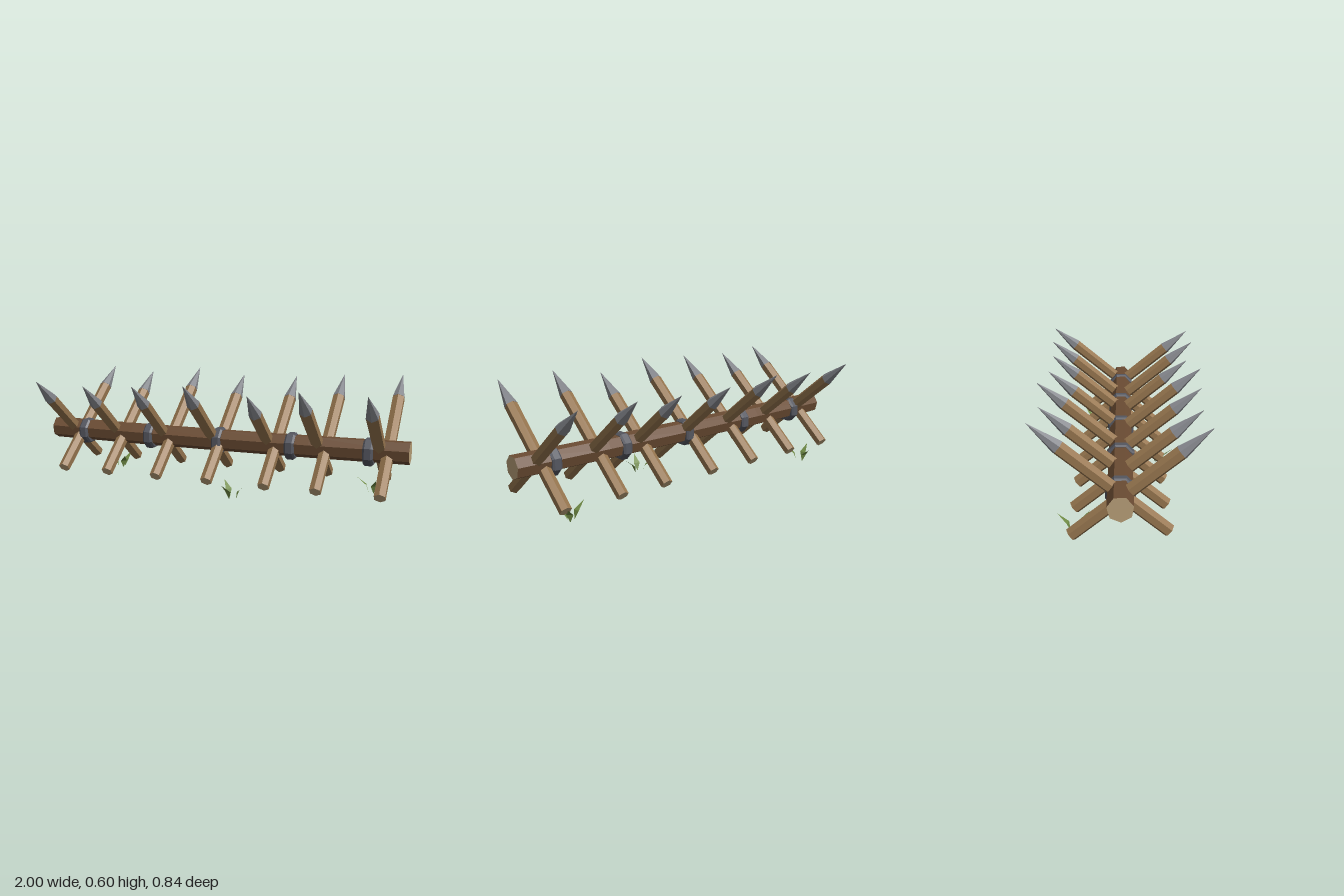
import * as THREE from 'three';

const mat = (name, color, extra = {}) => {
  const m = new THREE.MeshStandardMaterial({ color, flatShading: true, ...extra });
  m.name = name;
  return m;
};

export function createModel() {
  const model = new THREE.Group();
  model.name = 'spikedBarricade';

  const logWood = mat('dark log wood', 0x6b4c33);
  const stakeWood = mat('stake wood', 0x97764f);
  const cutWood = mat('cut wood', 0xb89f78);
  const steel = mat('steel tip', 0x85878d);
  const iron = mat('iron band', 0x54565f);
  const grass = mat('grass', 0x6f8a45, { side: THREE.DoubleSide });

  const add = (parent, name, geometry, material) => {
    const mesh = new THREE.Mesh(geometry, material);
    mesh.name = name;
    parent.add(mesh);
    return mesh;
  };

  // Seven-sided log along x, sagging slightly in the middle
  const logGeo = new THREE.CylinderGeometry(0.059, 0.059, 2, 7, 4, false, -1.17);
  logGeo.rotateZ(-Math.PI / 2);
  const p = logGeo.attributes.position;
  for (let i = 0; i < p.count; i++) {
    p.setY(i, p.getY(i) + 0.263 - 0.006 * (1 - p.getX(i) ** 2));
  }
  add(model, 'log', logGeo, [logWood, cutWood, cutWood]);

  // Chamfered octagonal bands around the log
  const bandProfile = [[0.045, -0.026], [0.064, -0.026], [0.0725, -0.016],
    [0.0725, 0.016], [0.064, 0.026], [0.045, 0.026]].map(([r, h]) => new THREE.Vector2(r, h));
  const bandGeo = new THREE.LatheGeometry(bandProfile, 8, Math.PI / 8);
  bandGeo.rotateZ(-Math.PI / 2);
  for (const x of [-0.8, -0.4, 0, 0.4, 0.8]) {
    add(model, 'band', bandGeo, iron).position.set(x, 0.254, 0);
  }

  // Crossed stakes: hexagonal shaft plus steel point, reach = z of the point
  const lean = 0.887, tipLength = 0.173, foot = -0.279;
  const addStake = (x, reach, side) => {
    const stake = new THREE.Group();
    stake.name = side > 0 ? 'frontStake' : 'backStake';
    stake.position.set(x, 0.257, 0);
    stake.rotation.x = side * lean;
    const end = reach / Math.sin(lean) - tipLength;
    add(stake, 'shaft', new THREE.CylinderGeometry(0.033, 0.031, end - foot, 6),
      [stakeWood, cutWood, cutWood]).position.y = (end + foot) / 2;
    add(stake, 'point', new THREE.ConeGeometry(0.034, tipLength, 6), steel)
      .position.y = end + tipLength / 2;
    model.add(stake);
  };
  // x of the front stake, front reach, back reach
  const pairs = [[-0.872, 0.392, 0.4], [-0.605, 0.375, 0.377], [-0.317, 0.392, 0.412],
    [-0.03, 0.416, 0.38], [0.278, 0.367, 0.385], [0.543, 0.415, 0.406], [0.855, 0.408, 0.419]];
  for (const [x, front, back] of pairs) {
    addStake(x, front, 1);
    addStake(x + 0.038, back, -1);
  }

  // Bent diamond blade pointing along +z from the tuft centre
  const blade = new THREE.BufferGeometry();
  blade.setAttribute('position', new THREE.Float32BufferAttribute([
    0, 0.003, 0.022, 0.017, 0.045, 0.034, -0.017, 0.045, 0.034, 0, 0.086, 0.085], 3));
  blade.setIndex([0, 1, 2, 2, 1, 3]);
  blade.computeVertexNormals();

  // Grass tufts: centre x and z, then the direction of each blade
  const tufts = [
    [-0.7, -0.208, [[-0.085, 0.023], [0.02, -0.08], [0.05, 0.063]]],
    [0.148, 0.208, [[-0.058, -0.053], [0.08, 0.002], [-0.028, 0.087]]],
    [0.798, -0.16, [[-0.083, 0.015], [0.025, 0.075], [0.05, -0.065]]],
  ];
  for (const [x, z, blades] of tufts) {
    const tuft = new THREE.Group();
    tuft.name = 'grassTuft';
    tuft.position.set(x, 0, z);
    for (const [dx, dz] of blades) {
      add(tuft, 'blade', blade, grass).rotation.y = Math.atan2(dx, dz);
    }
    model.add(tuft);
  }

  return model;
}
